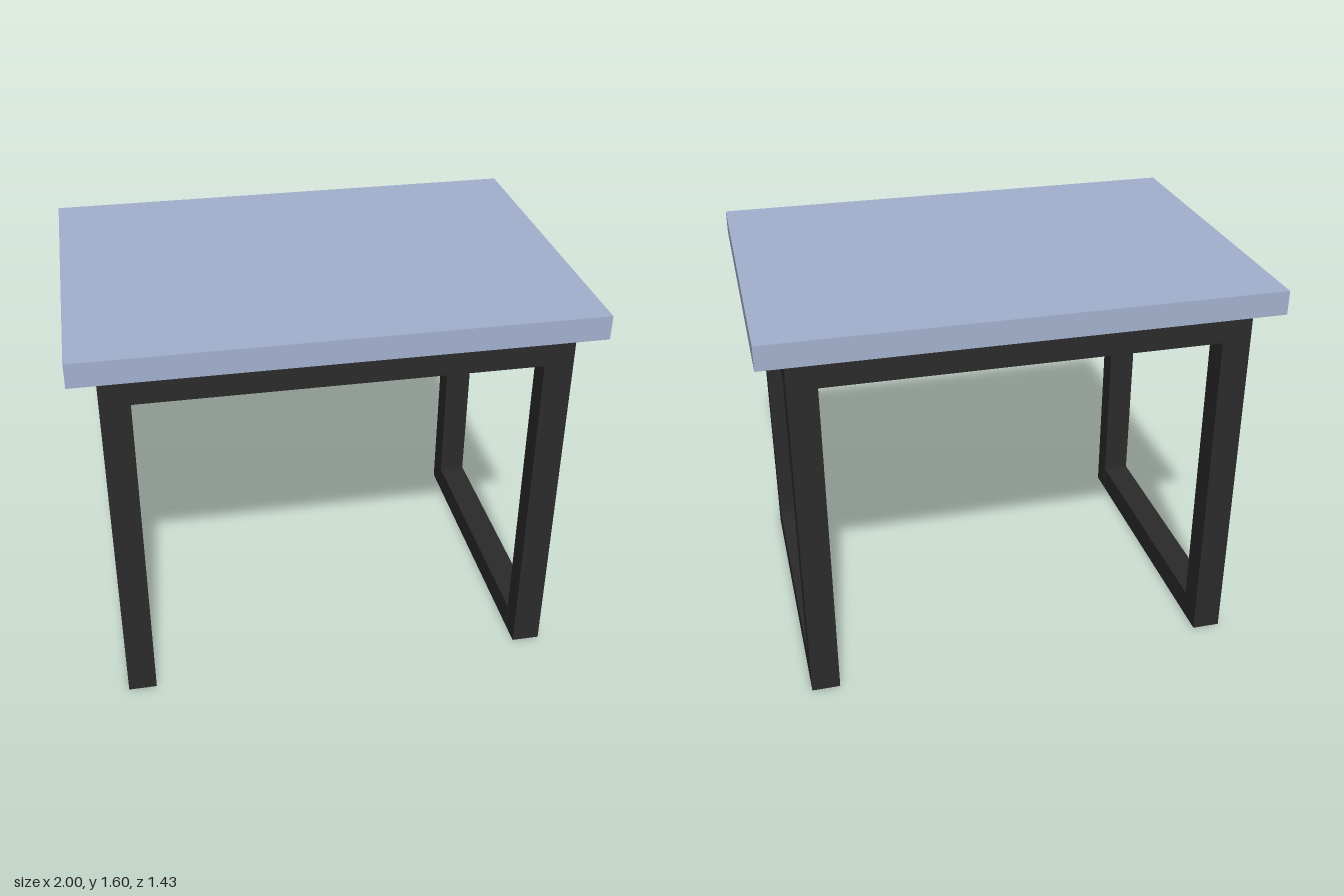
import * as THREE from 'three';

export function createModel() {
  const model = new THREE.Group();
  const topMaterial = new THREE.MeshStandardMaterial({ color: 0xa2b0cd });
  const frameMaterial = new THREE.MeshStandardMaterial({ color: 0x2a2a2a });

  // Box given by its limits on each axis
  function addBox(name, [x0, x1], [y0, y1], [z0, z1], material) {
    const mesh = new THREE.Mesh(new THREE.BoxGeometry(x1 - x0, y1 - y0, z1 - z0), material);
    mesh.position.set((x0 + x1) / 2, (y0 + y1) / 2, (z0 + z1) / 2);
    mesh.name = name;
    model.add(mesh);
  }

  const outer = 0.895, inner = 0.78;
  const railTop = 1.505, railBottom = 1.38;
  const front = [0.557, 0.655], back = [-0.648, -0.535];

  addBox('tableTop', [-1, 1], [railTop, 1.602], [-0.715, 0.715], topMaterial);

  // Two side loops: legs, upper rail and floor rail
  for (const [side, xs] of [['left', [inner, outer]], ['right', [-outer, -inner]]]) {
    addBox(side + 'FrontLeg', xs, [0, railTop], front, frameMaterial);
    addBox(side + 'BackLeg', xs, [0, railTop], back, frameMaterial);
    addBox(side + 'UpperRail', xs, [railBottom, railTop], [back[1], front[0]], frameMaterial);
    addBox(side + 'FloorRail', xs, [0, 0.11], [back[1], 0.552], frameMaterial);
  }

  // Long rails joining the side loops
  addBox('frontRail', [-inner, inner], [railBottom, railTop], front, frameMaterial);
  addBox('backRail', [-inner, inner], [railBottom, railTop], back, frameMaterial);

  return model;
}
